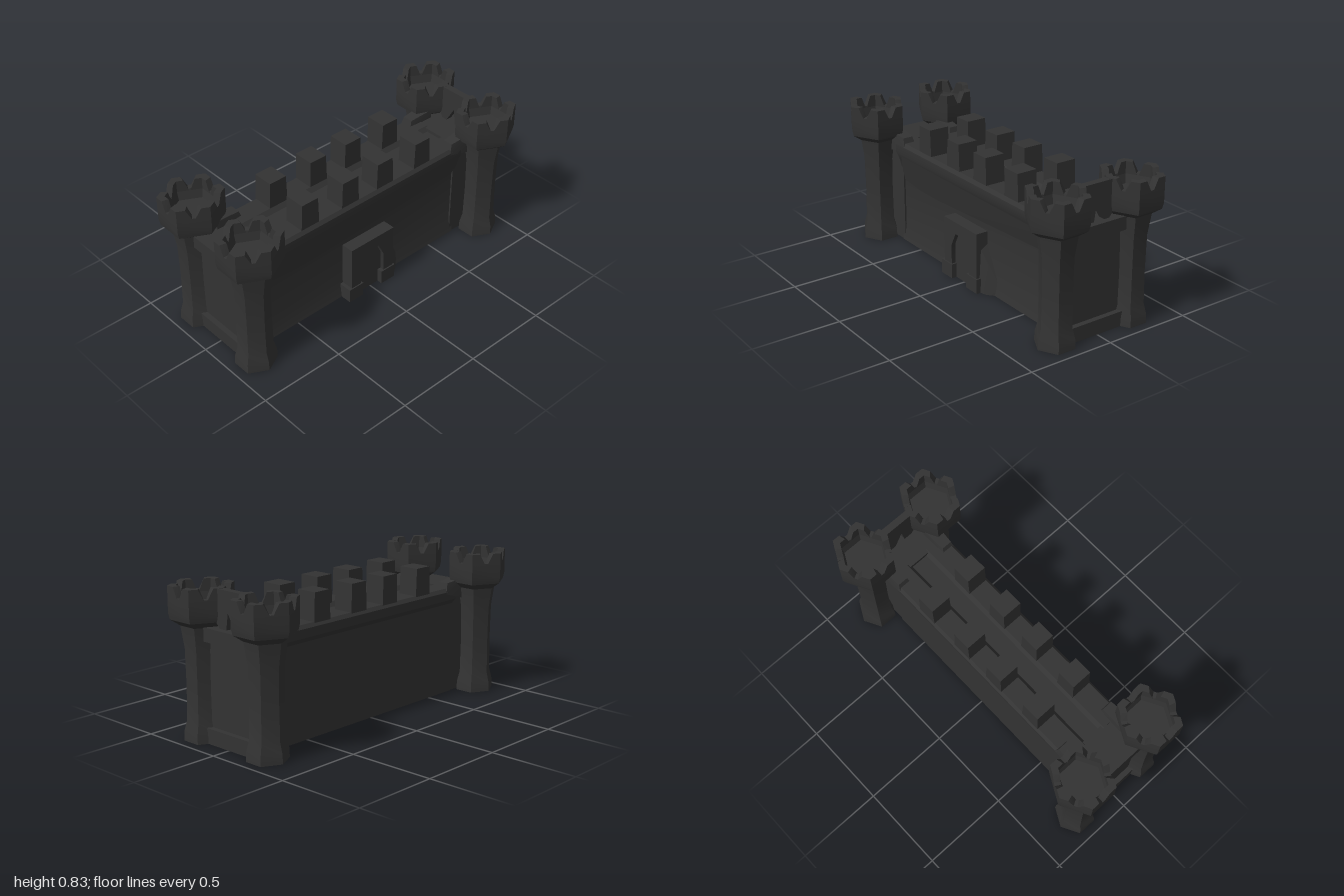
import * as THREE from 'three';
import { toCreasedNormals } from 'three/addons/utils/BufferGeometryUtils.js';
import { ConvexGeometry } from 'three/addons/geometries/ConvexGeometry.js';

export function createModel() {
  const model = new THREE.Group();
  model.name = 'castleWall';
  const stone = new THREE.MeshStandardMaterial({ color: 0x333333 });
  stone.name = 'dark stone';

  const add = (parent, name, geometry, x = 0, y = 0, z = 0) => {
    const mesh = new THREE.Mesh(toCreasedNormals(geometry, 0.5), stone);
    mesh.name = name;
    mesh.position.set(x, y, z);
    parent.add(mesh);
    return mesh;
  };
  const box = (name, x0, x1, y0, y1, z0, z1) =>
    add(model, name, new THREE.BoxGeometry(x1 - x0, y1 - y0, z1 - z0),
      (x0 + x1) / 2, (y0 + y1) / 2, (z0 + z1) / 2);
  const hull = (points) => new ConvexGeometry(points.map((p) => new THREE.Vector3(...p)));
  // Extrudes a (z, y) cross-section along x, centred on x = 0
  const alongX = (points, length) =>
    new THREE.ExtrudeGeometry(
      new THREE.Shape(points.map(([z, y]) => new THREE.Vector2(-z, y))),
      { depth: length, bevelEnabled: false }
    ).translate(0, 0, -length / 2).rotateY(Math.PI / 2);

  // Main wall with flared cornice and a shallow walkway between the parapets
  add(model, 'mainWall', alongX([
    [-0.17, 0], [0.17, 0], [0.155, 0.1], [0.155, 0.42], [0.18, 0.52],
    [0.2, 0.56], [0.2, 0.61], [0.185, 0.63], [0.07, 0.63], [0.05, 0.605],
    [-0.05, 0.605], [-0.07, 0.63], [-0.185, 0.63], [-0.2, 0.61], [-0.195, 0.56], [-0.17, 0.53],
  ], 1.4));
  // Ledge running under the front cornice
  add(model, 'frontLedge', hull([
    [-0.66, 0.54, 0.19], [0.7, 0.54, 0.19], [-0.7, 0.36, 0.15], [-0.5, 0.34, 0.15],
    [0.7, 0.4, 0.15], [-0.66, 0.54, 0.1], [0.7, 0.54, 0.1],
  ]));

  // Wall merlons, slightly narrower at the top
  for (const x of [-0.41, -0.13, 0.12, 0.4]) {
    for (const z of [-0.13, 0.125]) {
      const g = new THREE.BoxGeometry(0.12, 0.16, 0.12);
      const p = g.attributes.position;
      for (let i = 0; i < p.count; i++) {
        if (p.getY(i) > 0) p.setX(i, p.getX(i) * 0.9);
      }
      add(model, 'wallMerlon', g, x, 0.705, z);
    }
  }

  // End walls with recessed panel, cornice and plinth
  for (const s of [-1, 1]) {
    const endBox = (name, x1, y0, y1, z) =>
      box(name, Math.min(s * 0.68, s * x1), Math.max(s * 0.68, s * x1), y0, y1, -z, z);
    endBox('endWall', 0.865, 0, 0.62, 0.165);
    endBox('endCornice', 0.905, 0.55, 0.625, 0.16);
    endBox('endPlinth', 0.895, 0, 0.085, 0.165);
    // Low corner lumps where the walkway meets the towers
    for (const z of [-0.16, 0.16]) {
      add(model, 'cornerStep', hull([
        [s * 0.61, 0.6, z - 0.04], [s * 0.61, 0.6, z + 0.04], [s * 0.63, 0.66, z - 0.03],
        [s * 0.63, 0.66, z + 0.03], [s * 0.78, 0.675, z - 0.04], [s * 0.78, 0.675, z + 0.04],
        [s * 0.78, 0.55, z + 0.04], [s * 0.78, 0.55, z - 0.04],
      ]));
    }
  }

  // Hexagonal towers with hollow crenellated heads
  const towerProfile = [
    [0, 0], [0.108, 0], [0.105, 0.055], [0.09, 0.11], [0.087, 0.3], [0.09, 0.5], [0.108, 0.62],
    [0.157, 0.655], [0.165, 0.69], [0.165, 0.775], [0.128, 0.775], [0.115, 0.715], [0, 0.715],
  ].map(([r, y]) => new THREE.Vector2(r, y));
  const corner = (k, r) => new THREE.Vector3(Math.sin(k * Math.PI / 3) * r, 0, Math.cos(k * Math.PI / 3) * r);

  for (const sx of [-1, 1]) {
    for (const sz of [-1, 1]) {
      const tower = new THREE.Group();
      tower.name = 'tower';
      tower.position.set(sx * 0.845, 0, sz * 0.237);
      tower.scale.x = 1.08;
      model.add(tower);
      add(tower, 'towerBody', new THREE.LatheGeometry(towerProfile, 6));
      // Each corner merlon is two sloped halves, leaving wide V notches between corners
      for (let k = 0; k < 6; k++) {
        for (const d of [-1, 1]) {
          const pts = [];
          for (const [y, t] of [[0.765, 0.47], [0.832, 0.27]]) {
            for (const r of [0.165, 0.125]) {
              const a = corner(k, r);
              const b = a.clone().lerp(corner(k + d, r), t);
              pts.push([a.x, y, a.z], [b.x, y, b.z]);
            }
          }
          add(tower, 'towerMerlon', hull(pts));
        }
      }
    }
  }

  // Thin arched web joining the two tower heads at the left end
  add(model, 'towerBridge', alongX([
    [-0.1, 0.83], [-0.12, 0.68], [-0.07, 0.62], [-0.045, 0.62], [0.01, 0.715],
    [0.025, 0.62], [0.07, 0.62], [0.12, 0.68], [0.1, 0.83],
  ], 0.04), 0.85);

  // Gate: frame with an arched opening, recessed door and footings
  const frame = new THREE.Shape([
    [-0.16, 0], [-0.09, 0], [-0.09, 0.2], [-0.05, 0.28], [0.04, 0.28],
    [0.08, 0.2], [0.08, 0], [0.15, 0], [0.15, 0.35], [-0.16, 0.35],
  ].map(([x, y]) => new THREE.Vector2(x, y)));
  add(model, 'gateFrame', new THREE.ExtrudeGeometry(frame, { depth: 0.085, bevelEnabled: false }), 0, 0, 0.145);
  box('gateDoor', -0.1, 0.09, 0, 0.3, 0.14, 0.205);
  for (const x of [-0.13, 0.11]) {
    box('gateFooting', x - 0.05, x + 0.05, 0, 0.085, 0.14, 0.237);
  }
  // Sloping buttress beside the gate
  add(model, 'gateButtress', hull([
    [0.13, 0, 0.15], [0.26, 0, 0.15], [0.26, 0.05, 0.15], [0.15, 0.28, 0.15],
    [0.13, 0, 0.22], [0.2, 0, 0.2], [0.15, 0.25, 0.2],
  ]));

  return model;
}
